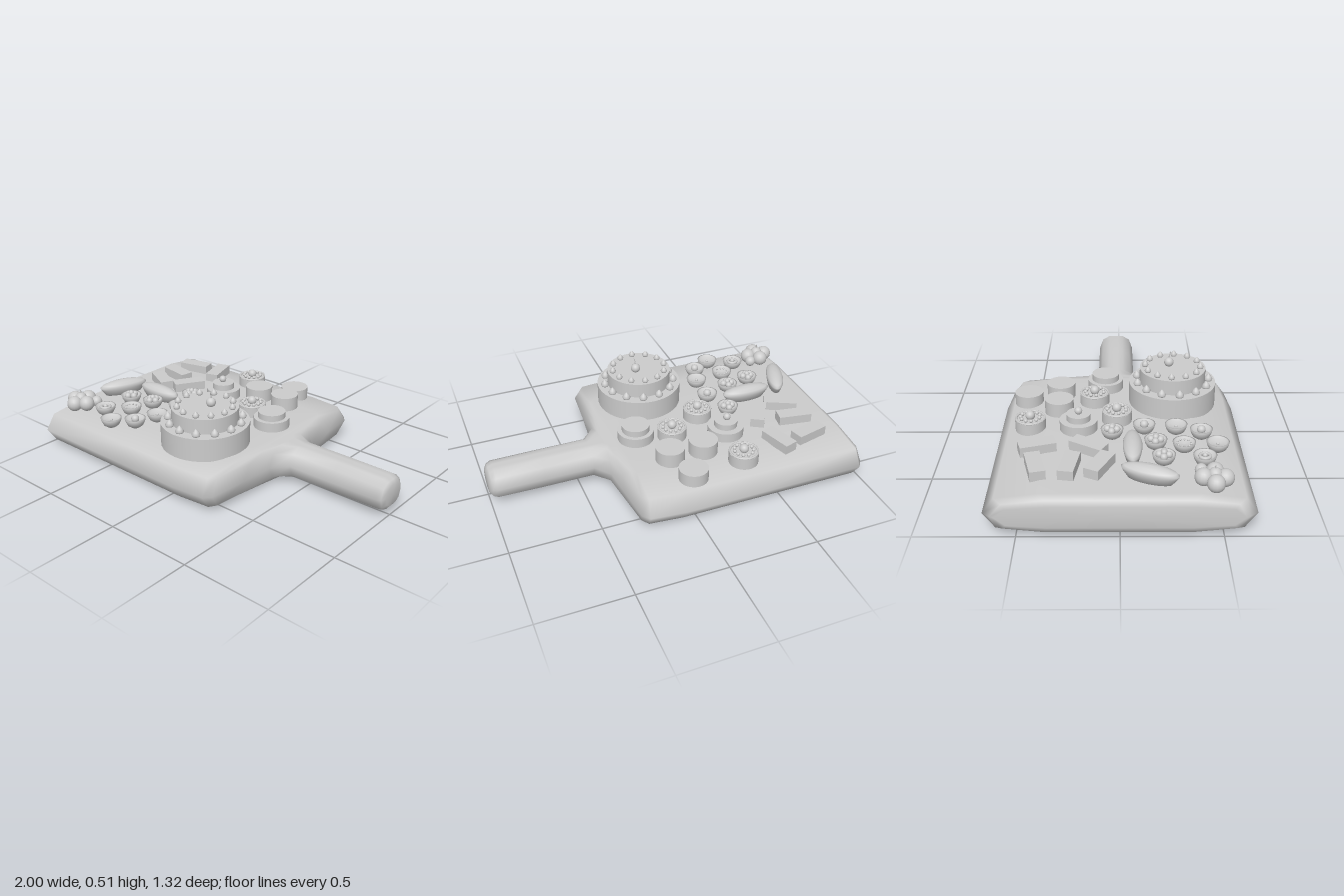
import * as THREE from 'three';

const mat = new THREE.MeshStandardMaterial({ color: 0xcccccc, side: THREE.DoubleSide });
const V = (pts) => pts.map(([x, y]) => new THREE.Vector2(x, y));

function add(parent, name, geo, x = 0, y = 0, z = 0) {
  const m = new THREE.Mesh(geo, mat);
  m.name = name;
  m.position.set(x, y, z);
  parent.add(m);
  return m;
}
function group(parent, name, x, y, z) {
  const g = new THREE.Group();
  g.name = name;
  g.position.set(x, y, z);
  parent.add(g);
  return g;
}
const ball = (p, name, r, x, y, z) => add(p, name, new THREE.SphereGeometry(r, 16, 12), x, y, z);
const disc = (p, name, r, h, y = 0) => add(p, name, new THREE.CylinderGeometry(r, r, h, 40), 0, y + h / 2, 0);
function ring(n, radius, place) {
  for (let i = 0; i < n; i++) {
    const a = (i / n) * Math.PI * 2 + 0.1;
    place(Math.cos(a) * radius, Math.sin(a) * radius);
  }
}
// height of the board's gently falling top
const topY = (z) => 0.22 - Math.max(0, Math.abs(z) - 0.39) * 0.09;

// Board and handle: one loft along x
function boardGeometry() {
  const wide = [[1, 0.5], [0.91, 0.88], [0.59, 1], [0.2, 1]];
  const round = [[1, 0.5], [0.8, 0.85], [0.4, 1], [0.13, 1]];
  // x, half width, centre z, bottom, top, handle blend, setback of top and bottom
  const stations = [
    [-1, 0.6, 0, 0.05, 0.17, 0, 0], [-0.99, 0.62, 0, 0.02, 0.2, 0, 0], [-0.96, 0.66, 0, 0, 0.22, 0, 0],
    [-0.3, 0.66, 0, 0, 0.22, 0, 0], [0.08, 0.66, 0, 0, 0.22, 0, 0],
    [0.28, 0.64, 0, 0, 0.22, 0, 0.02], [0.315, 0.6, 0, 0.005, 0.215, 0, 0.03],
    [0.335, 0.38, -0.01, 0.01, 0.212, 0.4, 0.02], [0.35, 0.2, -0.02, 0.015, 0.21, 0.8, 0.01],
    [0.42, 0.11, -0.02, 0.02, 0.205, 1, 0], [0.7, 0.11, -0.02, 0.02, 0.205, 1, 0],
    [0.96, 0.11, -0.02, 0.025, 0.202, 1, 0], [0.985, 0.098, -0.02, 0.035, 0.19, 1, 0], [1, 0.07, -0.02, 0.055, 0.17, 1, 0],
  ];
  const pos = [], idx = [];
  let n = 0;
  for (const [x, w, cz, y0, y1, t, set] of stations) {
    const q = wide.map((p, i) => [p[0] + (round[i][0] - p[0]) * t, p[1] + (round[i][1] - p[1]) * t]);
    const upper = [...q, ...q.slice().reverse().map(([a, b]) => [-a, b])];
    const loop = [...upper, ...upper.slice(1, -1).reverse().map(([a, b]) => [a, 1 - b])];
    n = loop.length;
    for (const [a, b] of loop) pos.push(x - set * (2 * b - 1) ** 2, y0 + (y1 - y0) * b, cz + w * a);
  }
  const last = stations.length - 1;
  for (let i = 0; i < last; i++) for (let j = 0; j < n; j++) {
    const a = i * n + j, d = i * n + (j + 1) % n;
    idx.push(a, a + n, d + n, a, d + n, d);
  }
  const c = pos.length / 3;
  pos.push(-1, 0.11, 0, 1, 0.112, -0.02);
  for (let j = 0; j < n; j++) {
    const k = (j + 1) % n;
    idx.push(c, j, k, c + 1, last * n + k, last * n + j);
  }
  const g = new THREE.BufferGeometry();
  g.setAttribute('position', new THREE.Float32BufferAttribute(pos, 3));
  g.setIndex(idx);
  g.computeVertexNormals();
  return g;
}

export function createModel() {
  const root = new THREE.Group();
  root.name = 'dessertBoard';
  add(root, 'boardWithHandle', boardGeometry());

  // Two-tier cake with piped drops and a cherry
  const cake = group(root, 'tieredCake', -0.005, 0.21, 0.3);
  disc(cake, 'lowerTier', 0.245, 0.13);
  disc(cake, 'upperTier', 0.185, 0.085, 0.13);
  const drop = (s) => new THREE.LatheGeometry(V([[0, 0], [0.8, 0.1], [1, 0.6], [0.7, 1.2], [0.25, 1.7], [0, 1.9]].map(([a, b]) => [a * s, b * s])), 14);
  ring(13, 0.205, (x, z) => add(cake, 'lowerDrop', drop(0.024), x, 0.125, z));
  ring(12, 0.155, (x, z) => add(cake, 'upperDrop', drop(0.019), x, 0.212, z));
  ball(cake, 'cherry', 0.027, 0.025, 0.235, -0.02);
  const stem = new THREE.CatmullRomCurve3([[0.025, 0.255, -0.02], [0.027, 0.275, -0.018], [0.03, 0.295, -0.012]].map((p) => new THREE.Vector3(...p)));
  add(cake, 'cherryStem', new THREE.TubeGeometry(stem, 8, 0.003, 6));

  // Plain round cakes
  for (const [x, z] of [[-0.01, -0.515], [-0.145, -0.335], [0.05, -0.335]])
    disc(group(root, 'roundCake', x, topY(z) - 0.005, z), 'sponge', 0.08, z < -0.45 ? 0.07 : 0.085);

  // Round cakes with a ring of beads
  for (const [x, z] of [[-0.32, -0.48], [-0.04, -0.14], [-0.25, -0.015]]) {
    const g = group(root, 'beadedCake', x, topY(z) - 0.005, z);
    disc(g, 'sponge', 0.082, 0.065);
    add(g, 'rim', new THREE.TorusGeometry(0.076, 0.006, 8, 40).rotateX(Math.PI / 2), 0, 0.067, 0);
    ring(11, 0.052, (bx, bz) => ball(g, 'bead', 0.01, bx, 0.074, bz));
    ball(g, 'centreBerry', 0.026, 0, 0.082, 0);
  }

  // Stepped cakes
  for (const [x, z, inner, berry] of [[-0.335, -0.22, 0.065, 1], [0.155, -0.08, 0.078, 0]]) {
    const g = group(root, 'steppedCake', x, 0.215, z);
    disc(g, 'base', 0.102, 0.06);
    disc(g, 'topLayer', inner, 0.095);
    if (berry) ball(g, 'berry', 0.021, -0.005, 0.112, 0);
  }

  // Small tarts: shell plus one of several fillings
  const shell = V([[0, 0], [0.025, 0], [0.045, 0.015], [0.055, 0.035], [0.06, 0.055], [0.052, 0.055], [0.043, 0.043], [0, 0.037]]);
  const tarts = [
    [-0.69, 0.22, 'berries'], [-0.54, 0.185, 'berries'], [-0.435, -0.04, 'berries'],
    [-0.38, 0.13, 'berry'], [-0.43, 0.43, 'berry'], [-0.69, 0.425, 'ring'],
    [-0.57, 0.33, 'dots'], [-0.385, 0.3, 'pip'], [-0.55, 0.505, 'pip'],
  ];
  for (const [x, z, kind] of tarts) {
    const g = group(root, 'tart', x, topY(z) - 0.003, z);
    add(g, 'shell', new THREE.LatheGeometry(shell, 32));
    if (kind === 'berries') {
      ring(4, 0.025, (bx, bz) => ball(g, 'berry', 0.019, bx, 0.052, bz));
      ball(g, 'berry', 0.016, 0, 0.065, 0);
    }
    if (kind === 'berry') ball(g, 'berry', 0.023, 0, 0.05, 0);
    if (kind === 'ring') {
      add(g, 'creamRing', new THREE.TorusGeometry(0.026, 0.009, 8, 24).rotateX(Math.PI / 2), 0, 0.046, 0);
      ball(g, 'berry', 0.013, 0, 0.05, 0);
    }
    if (kind === 'dots') ring(11, 0.037, (bx, bz) => ball(g, 'dot', 0.006, bx, 0.046, bz));
    if (kind === 'pip') ball(g, 'pip', 0.009, 0, 0.041, 0);
  }

  // Long pointed buns
  const bun = V([[0, 0], [0.75, 0], [0.95, 0.04], [1, 0.055], [0.9, 0.068], [0.6, 0.081], [0.3, 0.086], [0, 0.088]]);
  for (const [x, z, turn] of [[-0.605, 0.065, 0], [-0.845, 0.145, 1.2]]) {
    const m = add(root, 'longBun', new THREE.LatheGeometry(bun, 40), x, 0.217, z);
    m.scale.set(0.15, 1, 0.05);
    m.rotation.y = turn;
  }

  // Cake bars
  const bars = [[-0.755, -0.42, 0.24], [-0.567, -0.425, -1.28], [-0.755, -0.25, -0.16], [-0.575, -0.16, 1.03], [-0.75, -0.1, -0.46]];
  for (const [x, z, turn] of bars)
    add(root, 'cakeBar', new THREE.BoxGeometry(0.19, 0.055, 0.08), x, topY(z) + 0.025, z).rotation.y = turn;

  // Pile of fruit with a short stalk
  const fruit = group(root, 'fruitPile', -0.875, 0.213, 0.45);
  for (const [x, y, z, r] of [[0, 0.045, -0.05, 0.045], [0.07, 0.04, -0.055, 0.032], [-0.055, 0.042, 0.005, 0.045],
    [0.055, 0.042, 0.01, 0.045], [0, 0.04, 0.055, 0.045], [0, 0.06, 0.005, 0.035]])
    ball(fruit, 'fruit', r, x, y, z);
  add(fruit, 'stalk', new THREE.CylinderGeometry(0.003, 0.005, 0.03, 6), 0, 0.098, 0.005);
  return root;
}
